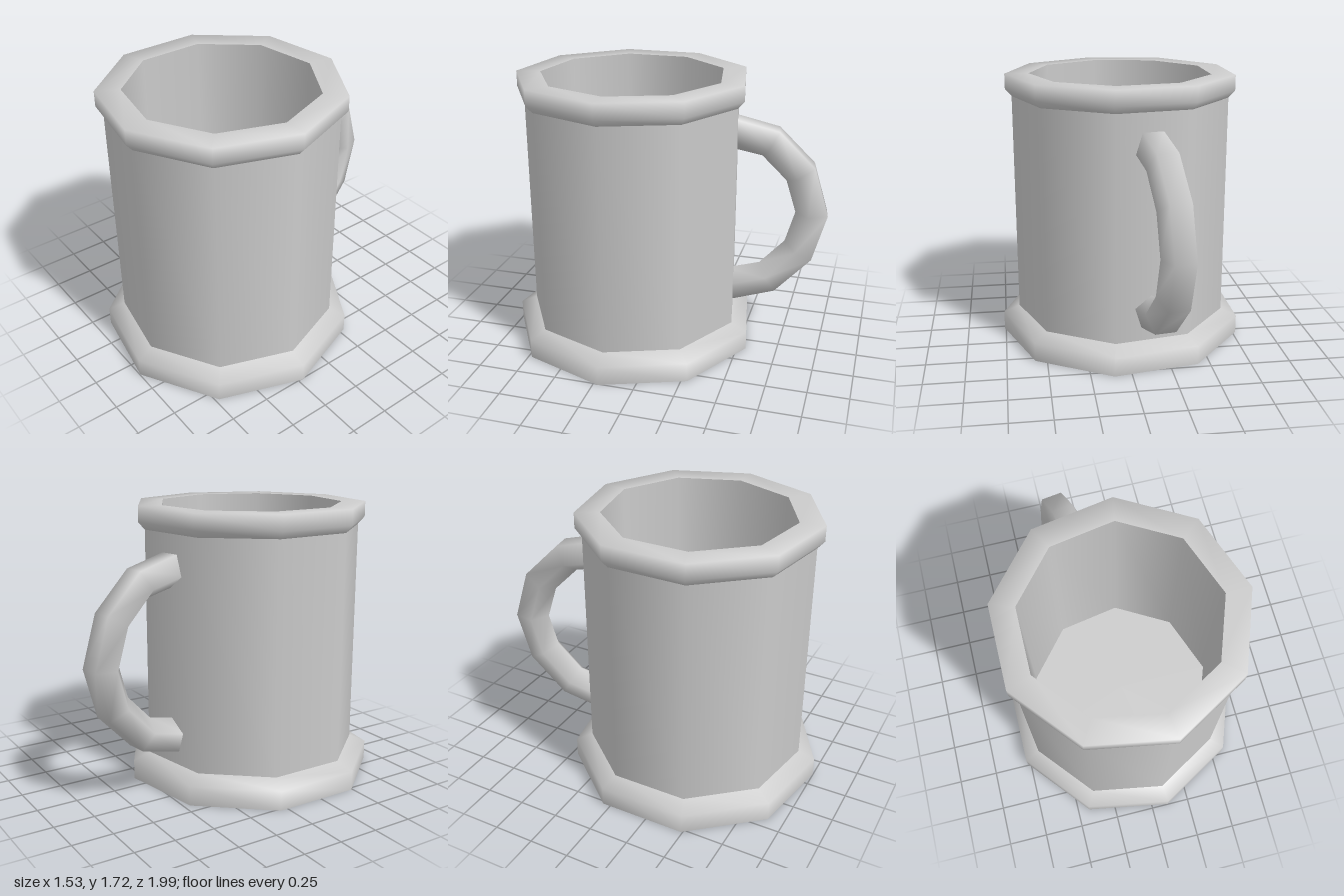
import * as THREE from 'three';

const SIDES = 9;
const material = new THREE.MeshStandardMaterial({ color: 0xcccccc, side: THREE.DoubleSide });

// Nine-sided turned part from [radius, height] points, one corner facing +x
function turned(name, points) {
  const profile = points.map(([r, y]) => new THREE.Vector2(r, y));
  const mesh = new THREE.Mesh(new THREE.LatheGeometry(profile, SIDES, Math.PI / 2), material);
  mesh.name = name;
  mesh.position.set(-0.03, 0, 0.22);
  return mesh;
}

// Five-sided bent bar, swept along a flat path with its broad face outward
function handleGeometry() {
  const path = [[-0.39, 1.378], [-0.625, 1.32], [-0.817, 1.125], [-0.898, 0.86],
    [-0.826, 0.602], [-0.635, 0.402], [-0.39, 0.337]];
  const radius = 0.11, n = 5, lean = 0.15;
  const back = new THREE.Vector3(-lean, 0, -1).normalize();
  const across = new THREE.Vector3(1, 0, -lean).normalize();
  const up = new THREE.Vector3(0, 1, 0);
  const centres = path.map(([z, y]) => new THREE.Vector3(-0.14 + lean * (z + 0.44), y, z));
  const positions = [], index = [];
  centres.forEach((c, i) => {
    const before = centres[Math.max(i - 1, 0)];
    const after = centres[Math.min(i + 1, centres.length - 1)];
    const along = after.clone().sub(before).normalize();
    // In-plane normal pointing to the outside of the bend
    const outward = back.clone().multiplyScalar(-along.dot(up)).addScaledVector(up, along.dot(back));
    for (let j = 0; j < n; j++) {
      const a = (j / n) * Math.PI * 2;
      const p = c.clone()
        .addScaledVector(outward, -radius * Math.cos(a))
        .addScaledVector(across, radius * Math.sin(a));
      positions.push(p.x, p.y, p.z);
      if (i < centres.length - 1) {
        const k = (j + 1) % n, r0 = i * n, r1 = r0 + n;
        index.push(r0 + j, r0 + k, r1 + j, r0 + k, r1 + k, r1 + j);
      }
    }
  });
  const geometry = new THREE.BufferGeometry();
  geometry.setAttribute('position', new THREE.Float32BufferAttribute(positions, 3));
  // Make sure the faces look away from the bar's centre line
  const [a, b, d] = [0, 1, 2].map(q => new THREE.Vector3().fromArray(positions, index[q] * 3));
  const facing = b.clone().sub(a).cross(d.clone().sub(a)).dot(a.clone().add(b).multiplyScalar(0.5).sub(centres[0]));
  if (facing < 0) index.reverse();
  geometry.setIndex(index);
  geometry.computeVertexNormals();
  return geometry;
}

export function createModel() {
  const mug = new THREE.Group();
  mug.name = 'mug';

  // Flared foot, open underneath
  mug.add(turned('base', [[0.789, 0], [0.789, 0.12], [0.685, 0.165]]));
  mug.add(turned('body', [[0.685, 0.165], [0.685, 1.58]]));
  mug.add(turned('rim', [[0.685, 1.58], [0.725, 1.625], [0.725, 1.72], [0.575, 1.72]]));

  // Inside of the cup
  mug.add(turned('innerWall', [[0.575, 1.72], [0.575, 0.42]]));
  mug.add(turned('innerFloor', [[0.575, 0.42], [0, 0.42]]));

  const handle = new THREE.Mesh(handleGeometry(), material);
  handle.name = 'handle';
  mug.add(handle);
  return mug;
}
